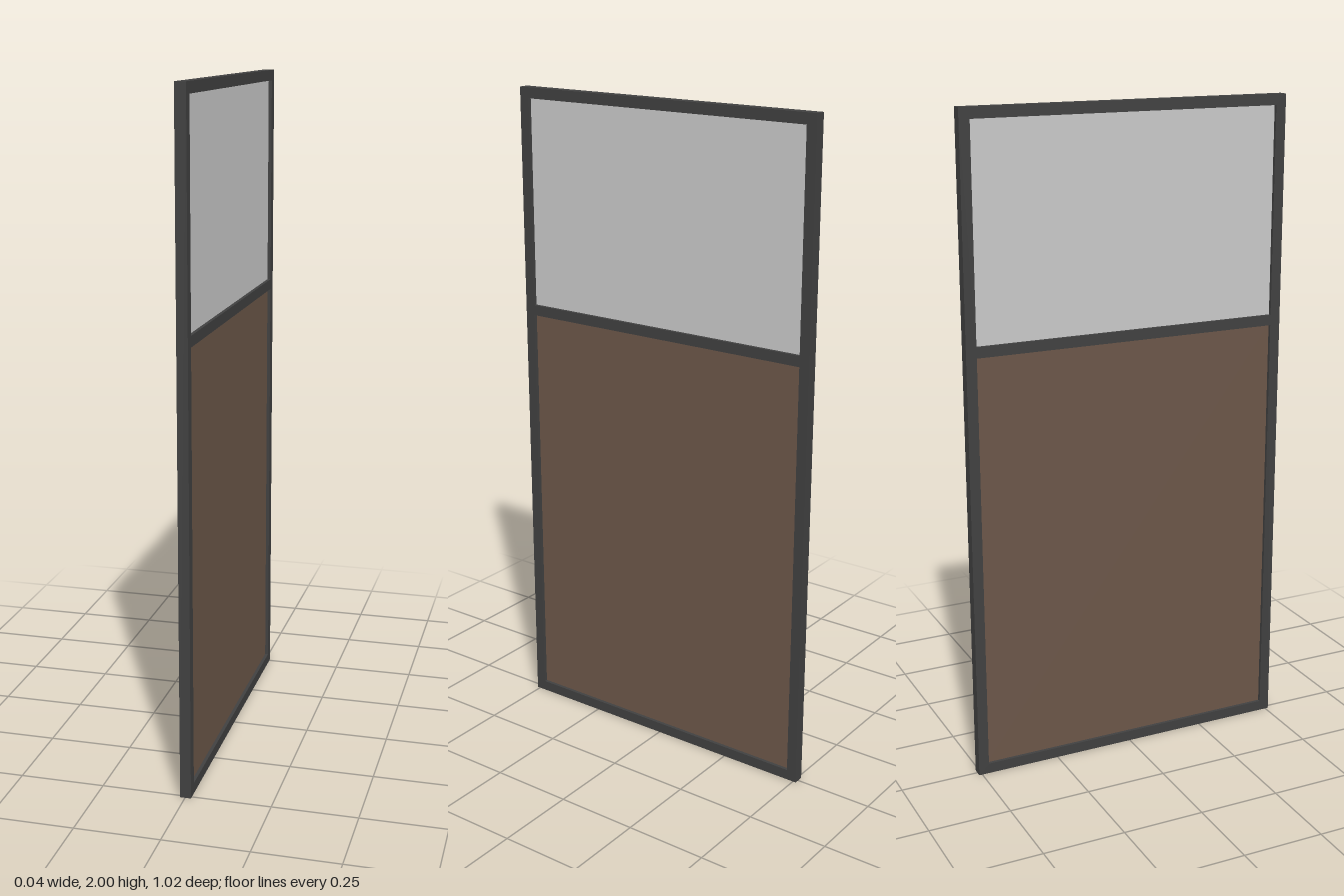
import * as THREE from 'three';

const W = 1.02, H = 2, BAR = 0.032, DEPTH = 0.032;
const RAIL_LOW = 1.306, RAIL_HIGH = 1.338;

// Rectangle outline, centred across the width
function rect(target, halfWidth, y0, y1) {
  target.moveTo(-halfWidth, y0);
  target.lineTo(halfWidth, y0);
  target.lineTo(halfWidth, y1);
  target.lineTo(-halfWidth, y1);
  target.closePath();
  return target;
}

export function createModel() {
  const group = new THREE.Group();
  group.name = 'partitionPanel';
  const material = (name, color) => {
    const m = new THREE.MeshStandardMaterial({ color });
    m.name = name;
    return m;
  };
  const add = (name, geometry, mat) => {
    const mesh = new THREE.Mesh(geometry, mat);
    mesh.name = name;
    group.add(mesh);
  };

  // Openings between the bars: lower board and upper pane
  const inner = W / 2 - BAR;
  const openings = [
    ['lowerBoard', BAR, RAIL_LOW, material('brown board', 0x6b5648)],
    ['upperPane', RAIL_HIGH, H - BAR, material('pale glass', 0xc8c8c8)],
  ];

  // Frame with a cross rail, extruded along x
  const outline = rect(new THREE.Shape(), W / 2, 0, H);
  for (const [, y0, y1] of openings) outline.holes.push(rect(new THREE.Path(), inner, y0, y1));
  const frame = new THREE.ExtrudeGeometry(outline, { depth: DEPTH, bevelEnabled: false });
  frame.translate(0, 0, -DEPTH / 2).rotateY(Math.PI / 2);
  add('frame', frame, material('dark metal', 0x404040));

  // Recessed infill panels
  for (const [name, y0, y1, mat] of openings) {
    const panel = new THREE.BoxGeometry(0.012, y1 - y0, inner * 2);
    panel.translate(0, (y0 + y1) / 2, 0);
    add(name, panel, mat);
  }

  // Very slight turn out of square
  group.rotation.y = 0.003;
  return group;
}
